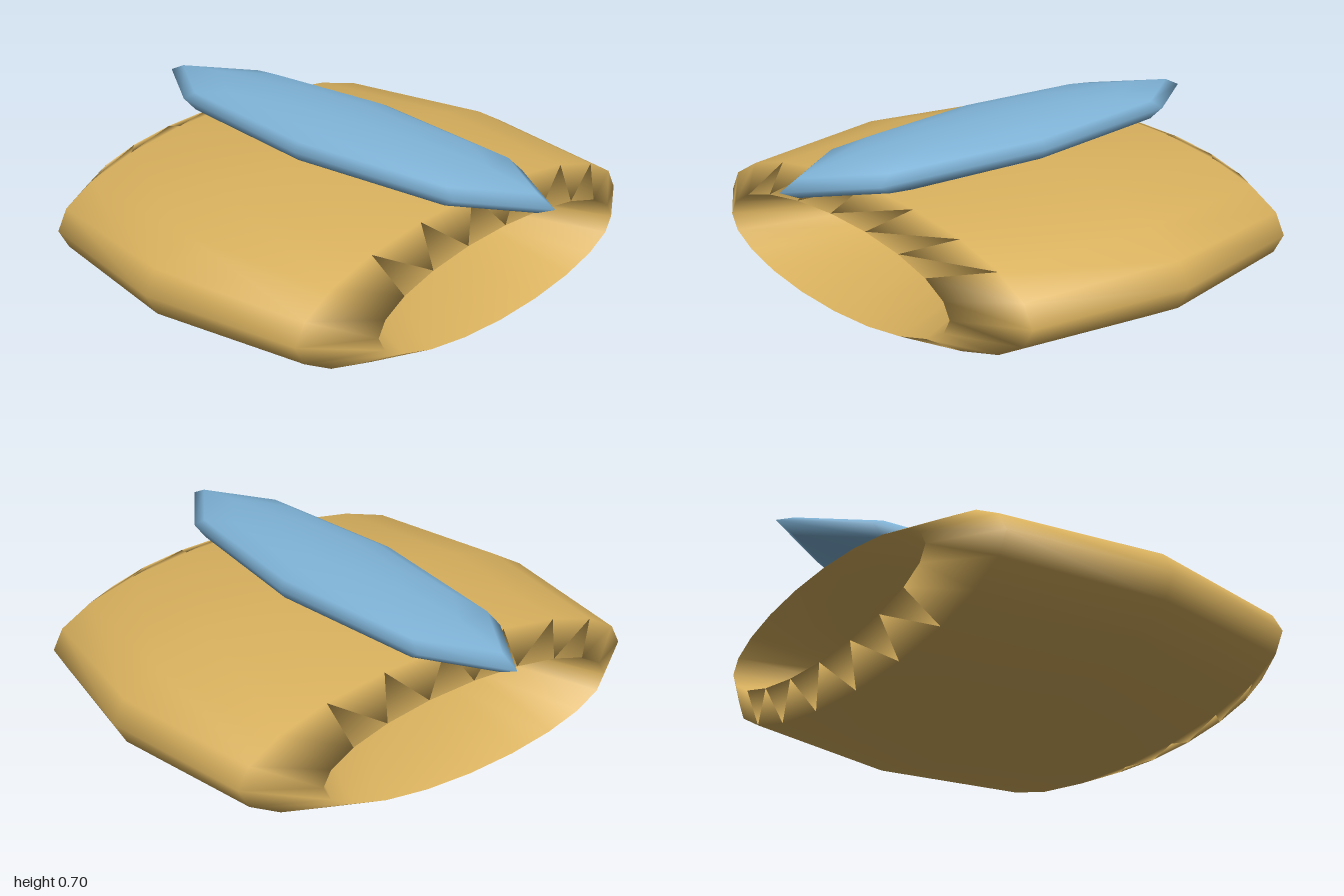
import * as THREE from 'three';

const gold = new THREE.MeshStandardMaterial({ name: 'gold', color: 0xd9b15e });
const blue = new THREE.MeshStandardMaterial({ name: 'sky blue', color: 0x7fb3d7 });

const RING_R = 0.72, TUBE_R = 0.28; // ring radius plus tube radius is 1
const HALF_HEIGHT = 0.288;

export function createModel() {
  const model = new THREE.Group();

  // Flattened, deep ring with its hole running front to back
  const ringGeometry = new THREE.TorusGeometry(RING_R, TUBE_R, 7, 20);
  ringGeometry.scale(1, HALF_HEIGHT, 0.81 / TUBE_R);
  const ring = new THREE.Mesh(ringGeometry, gold);
  ring.name = 'ringBody';
  ring.position.y = HALF_HEIGHT;
  model.add(ring);

  // Long, slim lens lying along the top of the ring
  const lensGeometry = new THREE.SphereGeometry(1, 8, 8);
  lensGeometry.scale(0.267, 0.095, 1);
  const lens = new THREE.Mesh(lensGeometry, blue);
  lens.name = 'topLens';
  lens.position.y = 0.605;
  model.add(lens);

  return model;
}
